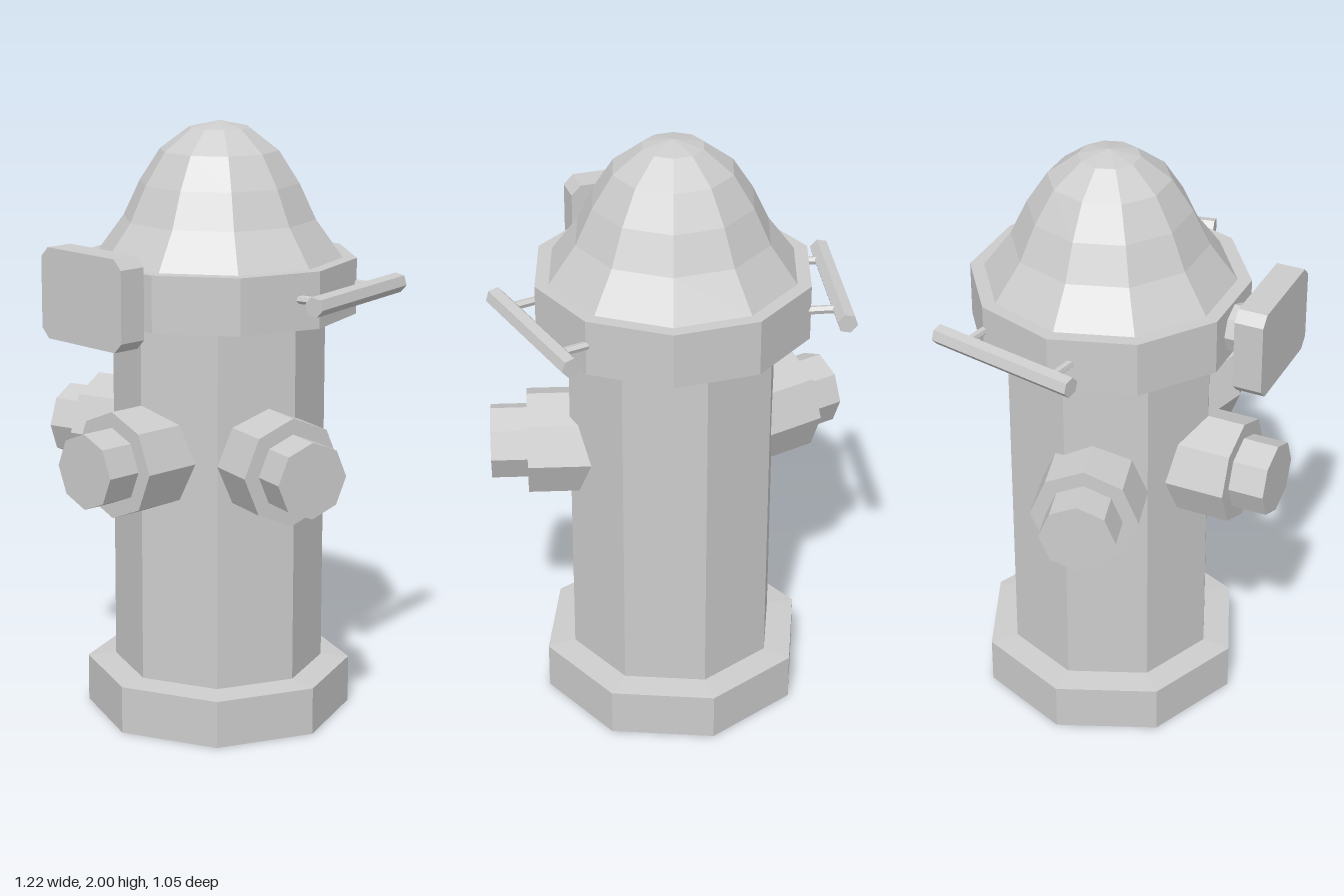
import * as THREE from 'three';

const material = new THREE.MeshStandardMaterial({ color: 0xcccccc, flatShading: true });

function part(name, geometry, parent) {
  const mesh = new THREE.Mesh(geometry, material);
  mesh.name = name;
  parent.add(mesh);
  return mesh;
}

// Faceted turned shape; profile is [radius, height] from bottom to top
function turned(profile, sides) {
  return new THREE.LatheGeometry(profile.map(([r, y]) => new THREE.Vector2(r, y)), sides);
}

// Straight rod between two points
function rod(name, a, b, radius, sides, parent) {
  const dir = b.clone().sub(a);
  const mesh = part(name, new THREE.CylinderGeometry(radius, radius, dir.length(), sides), parent);
  mesh.position.copy(a).add(b).multiplyScalar(0.5);
  mesh.quaternion.setFromUnitVectors(new THREE.Vector3(0, 1, 0), dir.normalize());
  return mesh;
}

export function createModel() {
  const model = new THREE.Group();
  model.name = 'hydrant';

  // Everything is arranged around the barrel axis
  const hydrant = new THREE.Group();
  hydrant.name = 'hydrantBody';
  hydrant.position.z = -0.08;
  model.add(hydrant);

  // Octagonal foot and barrel
  part('base', turned([[0, 0], [0.447, 0], [0.447, 0.16], [0.34, 0.17]], 8), hydrant);
  part('barrel', turned([[0.352, 0.15], [0.352, 1.4]], 8), hydrant);

  // Ten-sided collar and dome, with a corner on each side
  const collar = part('collar',
    turned([[0, 1.375], [0.456, 1.375], [0.456, 1.56], [0, 1.56]], 10), hydrant);
  const dome = part('dome',
    turned([[0.41, 1.56], [0.32, 1.683], [0.265, 1.8], [0.197, 1.905], [0.1, 1.978], [0, 2]], 10), hydrant);
  collar.rotation.y = dome.rotation.y = Math.PI / 2;

  // Three stepped outlets: front, left and right
  const outlet = turned(
    [[0, 0.2], [0.177, 0.2], [0.177, 0.48], [0.125, 0.48], [0.125, 0.6], [0, 0.6]], 8);
  outlet.rotateX(Math.PI / 2);
  [['frontOutlet', 0], ['leftOutlet', 75], ['rightOutlet', -75]].forEach(([name, angle]) => {
    const mesh = part(name, outlet, hydrant);
    mesh.position.y = 0.927;
    mesh.rotation.y = THREE.MathUtils.degToRad(angle);
  });

  // Front plate with clipped corners on a short neck
  const w = 0.188, h = 0.147, c = 0.032;
  const outline = [[w - c, -h], [w, -h + c], [w, h - c], [w - c, h],
    [-w + c, h], [-w, h - c], [-w, -h + c], [-w + c, -h]];
  const plate = part('frontPlate', new THREE.ExtrudeGeometry(
    new THREE.Shape(outline.map(([x, y]) => new THREE.Vector2(x, y))),
    { depth: 0.095, bevelEnabled: false }), model);
  plate.position.set(0, 1.487, 0.43);
  rod('plateNeck', new THREE.Vector3(0, 1.467, 0.25), new THREE.Vector3(0, 1.467, 0.44), 0.08, 8, model);

  // Side handles: a six-sided bar on two thin struts
  for (const [side, s] of [['left', 1], ['right', -1]]) {
    const handle = new THREE.Group();
    handle.name = side + 'Handle';
    model.add(handle);
    const back = new THREE.Vector3(s * 0.447, 1.475, -0.465);
    const front = new THREE.Vector3(s * 0.553, 1.475, 0.05);
    const bar = rod(side + 'HandleBar', back, front, 0.033, 6, handle);
    bar.rotateY(Math.PI / 2);
    const inward = new THREE.Vector3(-s * 0.98, 0, 0.2).multiplyScalar(0.16);
    for (const t of [0.194, 0.835]) {
      const start = back.clone().lerp(front, t);
      rod(side + 'HandleStrut', start, start.clone().add(inward), 0.014, 6, handle);
    }
  }

  return model;
}
